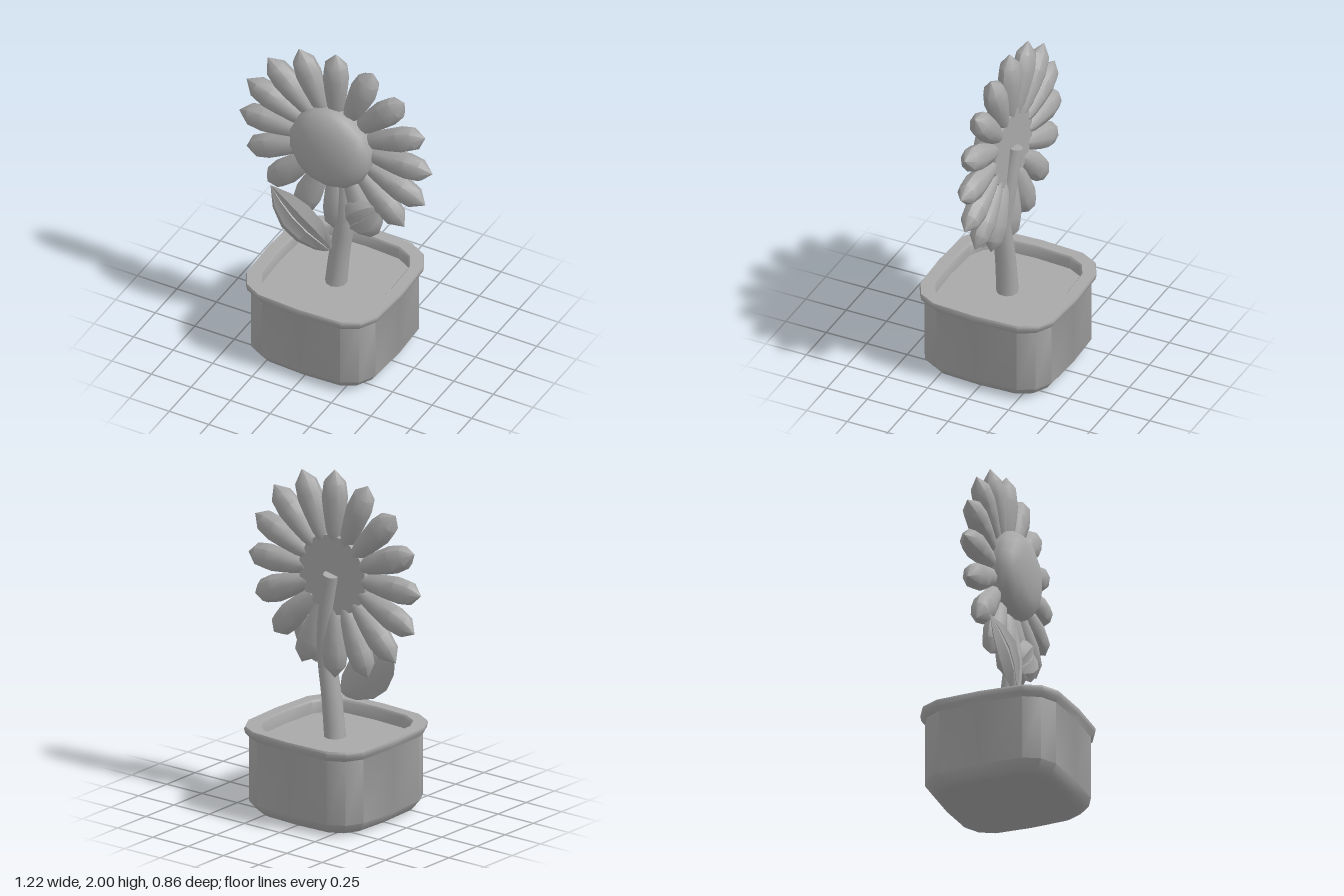
import * as THREE from 'three';
import { toCreasedNormals } from 'three/addons/utils/BufferGeometryUtils.js';

const grey = new THREE.MeshStandardMaterial({ color: 0xa8a8a8 });
grey.name = 'plain grey';

function mesh(name, geometry, crease = 0.75) {
  const m = new THREE.Mesh(toCreasedNormals(geometry, crease), grey);
  m.name = name;
  return m;
}

// Skin a list of equal-sized closed rings; collapsed rings close the ends
function loft(rings) {
  const n = rings[0].length;
  const pos = [];
  const push = (a, b, c) => {
    const area = b.clone().sub(a).cross(c.clone().sub(a)).length();
    if (area > 1e-9) for (const p of [a, b, c]) pos.push(p.x, p.y, p.z);
  };
  for (let i = 0; i < rings.length - 1; i++) {
    for (let j = 0; j < n; j++) {
      const k = (j + 1) % n;
      const a = rings[i][j], b = rings[i][k], c = rings[i + 1][k], d = rings[i + 1][j];
      push(a, b, c);
      push(a, c, d);
    }
  }
  const g = new THREE.BufferGeometry();
  g.setAttribute('position', new THREE.Float32BufferAttribute(pos, 3));
  return g;
}

// Rounded-square pot with a bevelled foot, a lip and soil inside
function makePot() {
  const quarter = [[0.425, 0], [0.41, 0.26], [0.357, 0.36], [0.26, 0.413]];
  const outline = [];
  for (let q = 0; q < 4; q++) {
    for (const [x, z] of quarter) {
      const p = new THREE.Vector3(x, 0, z);
      // counter-clockwise seen from above
      outline.push(p.applyAxisAngle(new THREE.Vector3(0, 1, 0), -q * Math.PI / 2));
    }
  }
  outline.reverse();
  const ring = ([s, y]) => outline.map(p => new THREE.Vector3(p.x * s, y, p.z * s));
  const pot = new THREE.Group();
  pot.name = 'pot';
  pot.add(mesh('potShell', loft([
    [0, 0], [0.8, 0], [0.86, 0.015], [0.955, 0.07], [0.955, 0.445],
    [1, 0.468], [1.012, 0.495], [1, 0.507], [0.85, 0.507], [0.83, 0.495], [0.83, 0.42],
  ].map(ring))));
  pot.add(mesh('soil', loft([[0.84, 0.43], [0, 0.43]].map(ring))));
  return pot;
}

// Curved stem that runs up behind the flower head
function makeStem() {
  const curve = new THREE.CatmullRomCurve3([
    [0.005, 0.41, 0], [0.03, 0.65, 0], [0.07, 0.92, 0],
    [0.05, 1.14, -0.025], [0, 1.39, -0.045],
  ].map(p => new THREE.Vector3(...p)));
  const across = new THREE.Vector3(1, 0, 0);
  const rings = [];
  const steps = 10;
  for (let i = 0; i <= steps; i++) {
    const t = i / steps;
    const c = curve.getPointAt(t);
    const tan = curve.getTangentAt(t);
    const front = across.clone().cross(tan).normalize();
    const side = tan.clone().cross(front);
    const r = 0.063 - 0.018 * t;
    const ring = [];
    for (let j = 0; j < 10; j++) {
      const a = j / 10 * Math.PI * 2;
      ring.push(c.clone().addScaledVector(front, Math.cos(a) * r).addScaledVector(side, -Math.sin(a) * r));
    }
    rings.push(ring.reverse());
  }
  const end = p => Array(10).fill(p);
  rings.unshift(end(curve.getPointAt(0)));
  rings.push(end(curve.getPointAt(1)));
  return mesh('stem', loft(rings), 0.9);
}

// Plump leaf along +y with a groove down the front as its midrib
function makeLeaf(name, length, width) {
  const stations = [[0, 0, 0], [0.03, 0.035, 0.01], [0.12, 0.08, 0.02], [0.33, 0.13, 0.04],
    [0.56, 0.135, 0.045], [0.79, 0.09, 0.03], [1, 0, 0]];
  const section = [[1, 0], [0.55, 0.85], [0.04, 0.45], [0, 0.1], [-0.04, 0.45], [-0.55, 0.85],
    [-1, 0], [-0.5, -0.7], [0, -0.9], [0.5, -0.7]];
  const rings = stations.map(([t, w, d]) => section.map(([x, z]) =>
    new THREE.Vector3(x * w * width, t * length, z * d + Math.sin(t * Math.PI) * 0.025)).reverse());
  return mesh(name, loft(rings), 0.7);
}

// Domed centre and a ring of petals
function makeFlower() {
  const flower = new THREE.Group();
  flower.name = 'flower';
  flower.position.set(0, 1.385, -0.01);

  const profile = [[0, -0.025], [0.235, -0.025], [0.255, 0.05], [0.25, 0.085], [0.215, 0.125],
    [0.15, 0.153], [0.075, 0.165], [0, 0.169]].map(p => new THREE.Vector2(...p));
  const dome = new THREE.LatheGeometry(profile, 14).rotateX(Math.PI / 2);
  flower.add(mesh('seedDisc', dome, 0.8));

  const petalProfile = [[0, 0.19], [0.035, 0.205], [0.054, 0.26], [0.07, 0.36],
    [0.08, 0.45], [0.068, 0.54], [0, 0.612]].map(p => new THREE.Vector2(...p));
  const count = 16;
  for (let i = 0; i < count; i++) {
    const petal = mesh('petal', new THREE.LatheGeometry(petalProfile, 8).scale(1, 1, 0.82), 0.8);
    petal.rotation.z = i / count * Math.PI * 2;
    flower.add(petal);
  }
  return flower;
}

export function createModel() {
  const model = new THREE.Group();
  model.name = 'pottedFlower';
  model.add(makePot(), makeStem(), makeFlower());

  const rightLeaf = makeLeaf('rightLeaf', 0.495, 1);
  rightLeaf.position.set(0, 0.67, 0.05);
  rightLeaf.rotation.z = 0.88;
  const leftLeaf = makeLeaf('leftLeaf', 0.31, 0.88);
  leftLeaf.position.set(0.09, 0.85, 0.015);
  leftLeaf.rotation.z = -0.785;
  model.add(rightLeaf, leftLeaf);
  return model;
}
